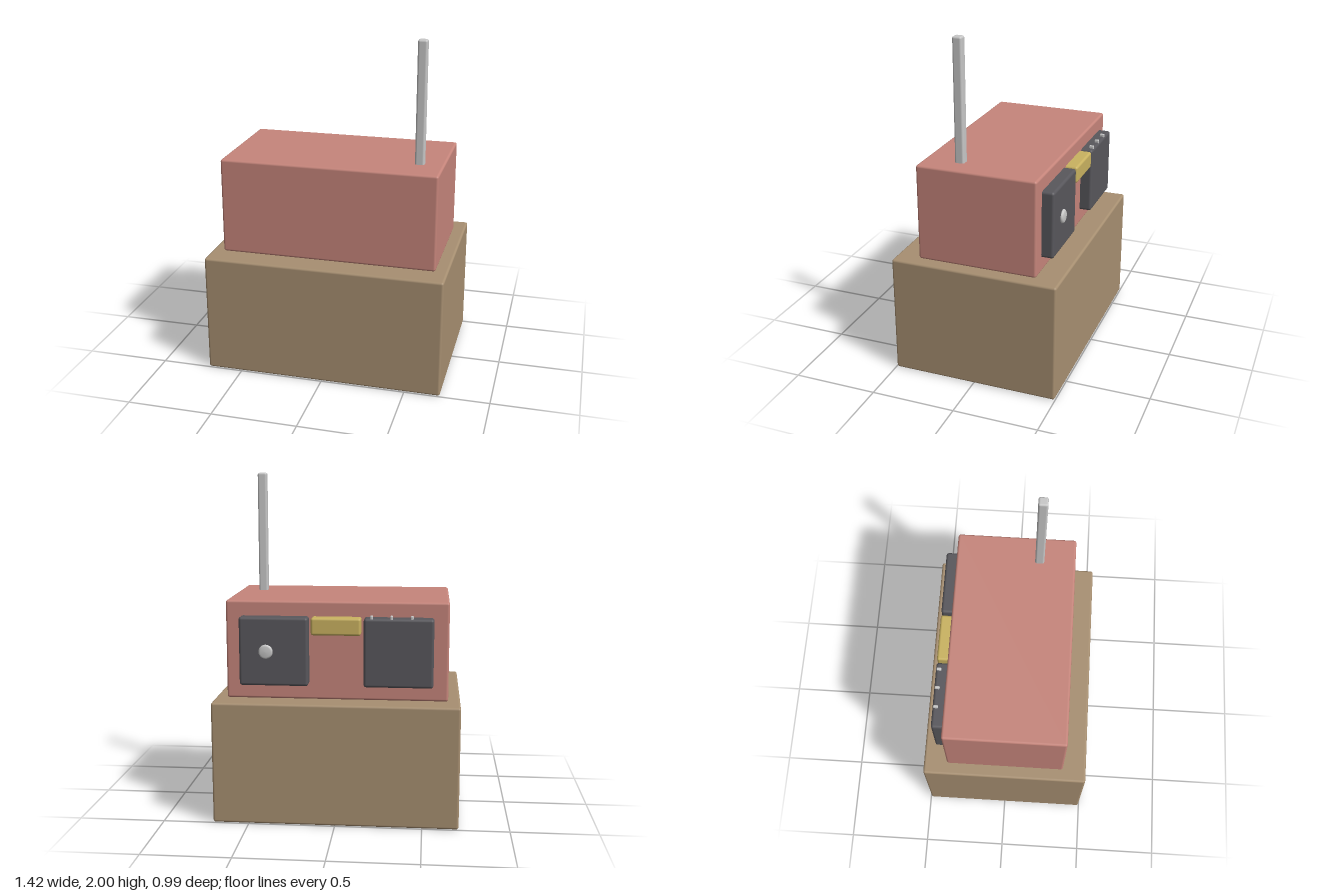
import * as THREE from 'three';
import { RoundedBoxGeometry } from 'three/addons/geometries/RoundedBoxGeometry.js';

const mat = (name, color) => {
  const m = new THREE.MeshStandardMaterial({ color });
  m.name = name;
  return m;
};

export function createModel() {
  const tan = mat('tan', 0xa78f71);
  const red = mat('dustyRed', 0xc6857b);
  const dark = mat('charcoal', 0x58575c);
  const yellow = mat('mustard', 0xc9b260);
  const steel = mat('steel', 0xc8c8c8);

  const model = new THREE.Group();
  model.name = 'model';

  // Box with softened edges, given by its min and max corners
  const box = (name, material, [x0, y0, z0], [x1, y1, z1], radius) => {
    const geo = new RoundedBoxGeometry(x1 - x0, y1 - y0, z1 - z0, 2, radius);
    const mesh = new THREE.Mesh(geo, material);
    mesh.position.set((x0 + x1) / 2, (y0 + y1) / 2, (z0 + z1) / 2);
    mesh.name = name;
    model.add(mesh);
  };

  // Stacked bodies
  box('base', tan, [-0.71, 0, -0.497], [0.71, 0.714, 0.497], 0.014);
  box('upperBody', red, [-0.64, 0.714, -0.356], [0.64, 1.286, 0.356], 0.014);

  // Antenna, sunk slightly into the roof
  box('antenna', steel, [0.471, 1.27, 0.114], [0.526, 2, 0.169], 0.012);

  // Two square panels on the back, joined by a yellow bar
  for (const [name, s] of [['leftPanel', 1], ['rightPanel', -1]]) {
    const x = s * 0.356;
    box(name, dark, [x - 0.198, 0.804, -0.427], [x + 0.198, 1.2, -0.34], 0.016);
  }
  box('centreBar', yellow, [-0.142, 1.1, -0.427], [0.142, 1.2, -0.34], 0.014);

  // Three small pins on the top of the right panel
  [-0.43, -0.315, -0.202].forEach((x, i) => {
    box('pin' + (i + 1), steel, [x - 0.008, 1.18, -0.422], [x + 0.008, 1.216, -0.394], 0.005);
  });

  // Round knob on the left panel, with a softened rim
  const profile = [
    [0.041, -0.02], [0.041, 0.002], [0.038, 0.009], [0.03, 0.014], [0, 0.015],
  ].map(([r, h]) => new THREE.Vector2(r, h));
  const knob = new THREE.Mesh(new THREE.LatheGeometry(profile, 24), steel);
  knob.name = 'knob';
  knob.rotation.x = -Math.PI / 2;
  knob.position.set(0.399, 1.003, -0.427);
  model.add(knob);

  return model;
}
